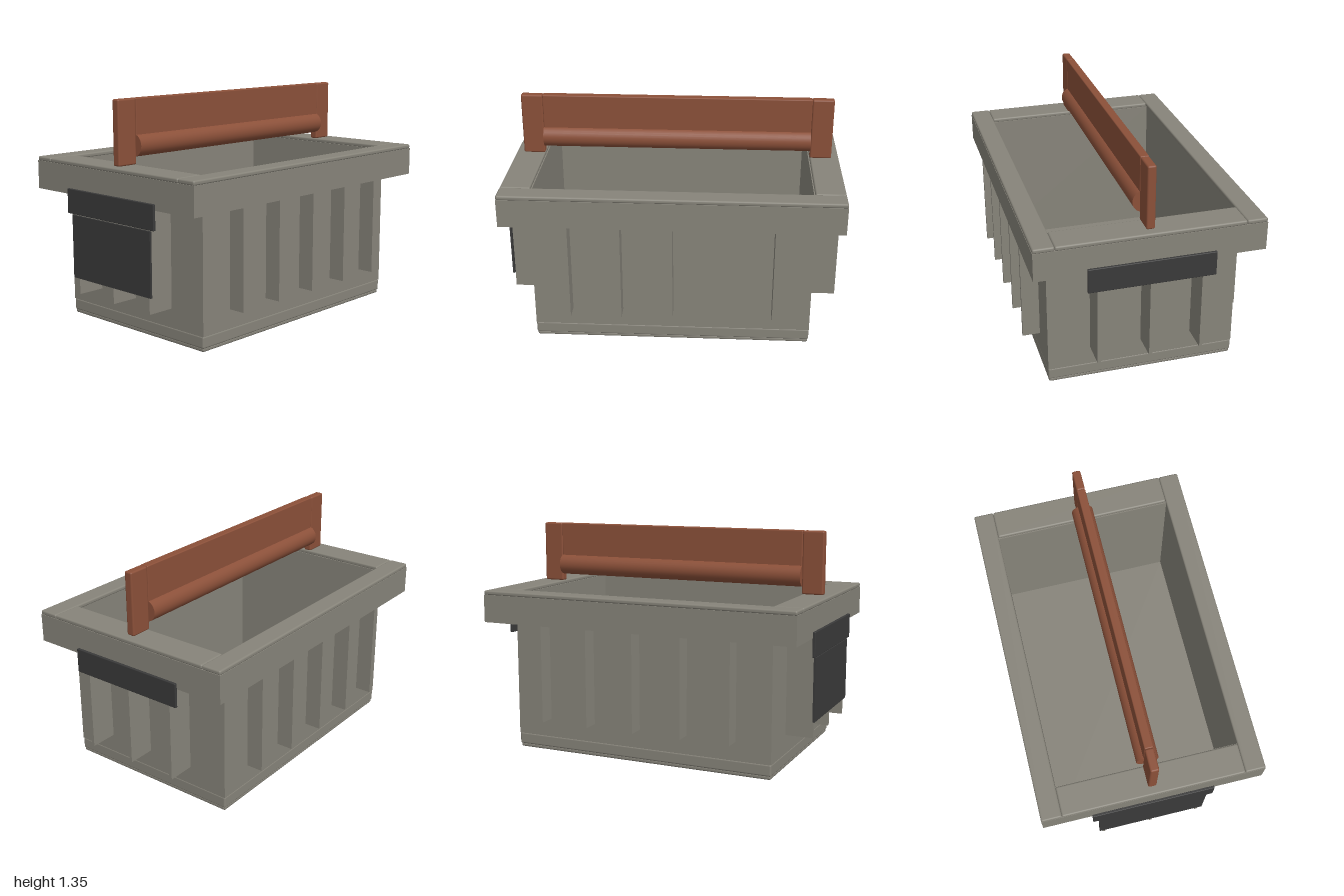
import * as THREE from 'three';
import { RoundedBoxGeometry } from 'three/addons/geometries/RoundedBoxGeometry.js';

export function createModel() {
  const model = new THREE.Group();
  model.name = 'carryCrate';
  const grey = new THREE.MeshStandardMaterial({ color: 0x87847a });
  grey.name = 'warm grey';
  const brown = new THREE.MeshStandardMaterial({ color: 0x8b5039 });
  brown.name = 'red brown';
  const black = new THREE.MeshStandardMaterial({ color: 0x3a3a3a });
  black.name = 'charcoal';

  // Box given by its min and max on each axis, with optional rounded edges
  function box(name, mat, [x0, x1], [y0, y1], [z0, z1], r = 0) {
    const size = [x1 - x0, y1 - y0, z1 - z0];
    const geo = r ? new RoundedBoxGeometry(...size, 2, r) : new THREE.BoxGeometry(...size);
    const mesh = new THREE.Mesh(geo, mat);
    mesh.position.set((x0 + x1) / 2, (y0 + y1) / 2, (z0 + z1) / 2);
    mesh.name = name;
    model.add(mesh);
    return mesh;
  }
  // Range from a to b, mirrored when s is -1
  const span = (s, a, b) => (s > 0 ? [a, b] : [-b, -a]);

  const BX = 0.555, BZ = 0.82;   // tub half sizes
  const RX = 0.657, RZ = 0.985;  // rim half sizes
  const WALL = 0.015, SKIRT = 0.015;

  // Base plate and foot band
  box('basePlate', grey, [-BX + 0.004, BX - 0.004], [0, 0.026], [-BZ + 0.004, BZ - 0.004], 0.01);
  box('footBand', grey, [-BX, BX], [0.02, 0.09], [-BZ, BZ], 0.01);

  for (const s of [-1, 1]) {
    // Tub walls
    box('sideWall', grey, span(s, BX - WALL, BX), [0.088, 0.955], [-BZ, BZ]);
    box('endWall', grey, [-BX + WALL, BX - WALL], [0.088, 0.955], span(s, BZ - WALL, BZ));

    // Hanging skirt around the rim
    box('sideSkirt', grey, span(s, RX - SKIRT, RX), [0.785, 0.953], [-RZ, RZ]);
    box('endSkirt', grey, [-RX + SKIRT, RX - SKIRT], [0.785, 0.953], span(s, RZ - SKIRT, RZ));

    // Flat rim boards on top
    box('sideRim', grey, span(s, 0.537, RX), [0.951, 0.978], [-RZ, RZ], 0.01);
    box('endRim', grey, [-0.537, 0.537], [0.951, 0.978], span(s, 0.81, RZ), 0.01);

    // Deep thin ribs below the rim
    for (const z of [-0.6, -0.3, 0, 0.3, 0.6])
      box('sideRib', grey, span(s, BX, RX - 0.001), [0.2, 0.953], [z - 0.009, z + 0.009]);
    for (const x of [-0.3, 0, 0.3])
      box('endRib', grey, [x - 0.009, x + 0.009], [0.2, 0.953], span(s, BZ, RZ - 0.001));

    // Dark grip plate at each end
    box('gripPlate', black, [-0.365, 0.365], [0.675, 0.82], span(s, RZ - 0.002, 1), 0.004);

    // Handle posts
    box('handlePost', brown, [-0.025, 0.025], [0.978, 1.35], span(s, 0.808, 0.938), 0.01);
  }

  // Front panel
  box('frontPanel', black, [-0.33, 0.33], [0.297, 0.668], [RZ - 0.002, 0.995]);

  // Handle board and round grip bar
  box('handleBoard', brown, [-0.025, 0.025], [1.09, 1.35], [-0.808, 0.808], 0.006);
  const bar = new THREE.Mesh(new THREE.CylinderGeometry(0.065, 0.065, 1.616, 32), brown);
  bar.rotation.x = Math.PI / 2;
  bar.position.y = 1.085;
  bar.name = 'gripBar';
  model.add(bar);

  return model;
}
